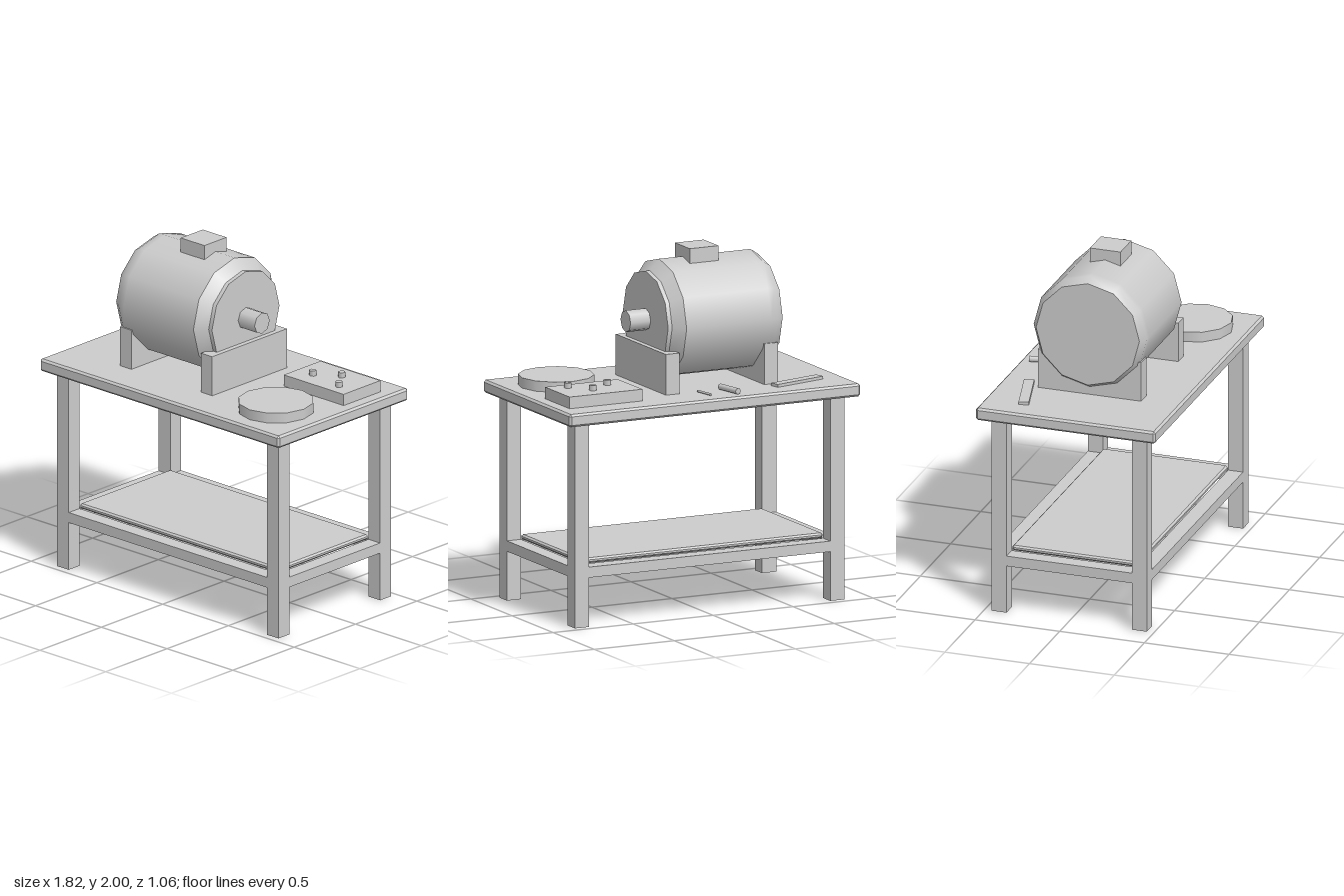
import * as THREE from 'three';
import { ConvexGeometry } from 'three/addons/geometries/ConvexGeometry.js';

export function createModel() {
  const model = new THREE.Group();
  const grey = new THREE.MeshStandardMaterial({ color: 0xcccccc, side: THREE.DoubleSide });
  grey.name = 'plainGrey';

  function add(name, geometry, x, y, z) {
    const mesh = new THREE.Mesh(geometry, grey);
    mesh.name = name;
    mesh.position.set(x, y, z);
    model.add(mesh);
    return mesh;
  }

  // Box given by its limits on each axis
  function box(name, x0, x1, y0, y1, z0, z1) {
    return add(name, new THREE.BoxGeometry(x1 - x0, y1 - y0, z1 - z0),
      (x0 + x1) / 2, (y0 + y1) / 2, (z0 + z1) / 2);
  }

  // Box with chamfered edges
  function chamferBox(w, h, d, b) {
    const points = [];
    for (const sx of [-1, 1]) for (const sy of [-1, 1]) for (const sz of [-1, 1]) {
      for (let k = 0; k < 3; k++) {
        points.push(new THREE.Vector3(
          sx * (w / 2 - (k === 0 ? 0 : b)),
          sy * (h / 2 - (k === 1 ? 0 : b)),
          sz * (d / 2 - (k === 2 ? 0 : b))));
      }
    }
    return new ConvexGeometry(points);
  }

  // Table: top, lower shelf, open-ended legs and rails
  add('tableTop', chamferBox(1.82, 0.073, 1.06, 0.012), 0, 1.197, 0);
  add('shelf', chamferBox(1.51, 0.03, 0.74, 0.01), 0, 0.355, 0);
  for (const sx of [-1, 1]) for (const sz of [-1, 1]) {
    const leg = new THREE.BoxGeometry(0.088, 1.15, 0.088);
    const index = Array.from(leg.index.array);
    index.splice(12, 12);
    leg.setIndex(index);
    leg.clearGroups();
    add('leg', leg, sx * 0.798, 0.575, sz * 0.414);
  }
  for (const s of [-1, 1]) {
    box('longRail', -0.754, 0.754, 0.28, 0.34, s * 0.414 - 0.044, s * 0.414 + 0.044);
    box('sideRail', s * 0.798 - 0.044, s * 0.798 + 0.044, 0.28, 0.34, -0.37, 0.37);
  }

  // Drum lying along x, with a chamfered back and a stepped neck
  function lathe(name, profile, sides) {
    const points = profile.map(([r, x]) => new THREE.Vector2(r, x));
    add(name, new THREE.LatheGeometry(points, sides), 0, 1.605, 0).rotation.z = -Math.PI / 2;
  }
  lathe('drumEnd', [[0, -0.535], [0.305, -0.535]], 12);
  lathe('drumBody', [[0.305, -0.535], [0.335, -0.49], [0.335, -0.45], [0.335, 0.04], [0.335, 0.08]], 12);
  lathe('drumShoulder', [[0.335, 0.08], [0.275, 0.14]], 12);
  lathe('drumNeck', [[0.275, 0.14], [0.275, 0.165]], 12);
  lathe('drumFace', [[0.275, 0.165], [0, 0.165]], 12);
  lathe('shaft', [[0.062, 0.165], [0.062, 0.29]], 8);
  lathe('shaftEnd', [[0.062, 0.29], [0, 0.29]], 8);
  box('topBlock', -0.245, -0.065, 1.915, 2.0, -0.09, 0.09);

  // Supports under the drum
  box('rearSupport', -0.505, -0.42, 1.23, 1.465, -0.305, 0.305);
  box('frontSupport', 0.11, 0.195, 1.23, 1.465, -0.305, 0.305);

  // Round plate and control box with knobs
  add('roundPlate', new THREE.CylinderGeometry(0.213, 0.213, 0.06, 12), 0.607, 1.262, 0.227);
  box('controlBox', 0.38, 0.835, 1.232, 1.3, -0.38, -0.08);
  for (const [x, z] of [[0.5, -0.187], [0.637, -0.277], [0.73, -0.155]]) {
    add('knob', new THREE.CylinderGeometry(0.021, 0.021, 0.04, 6), x, 1.31, z);
  }

  // Loose tools on the table
  add('flatBar', new THREE.BoxGeometry(0.335, 0.018, 0.058), -0.61, 1.241, -0.335).rotation.y = 0.25;
  function rod(name, r, length, x, y, z, turn) {
    const geometry = new THREE.CylinderGeometry(r, r, length, 8).rotateX(Math.PI / 2);
    add(name, geometry, x, y, z).rotation.y = turn;
  }
  rod('thickRod', 0.018, 0.16, -0.155, 1.252, -0.395, 0.19);
  rod('thinRod', 0.007, 0.12, -0.005, 1.243, -0.385, 0.17);

  return model;
}
